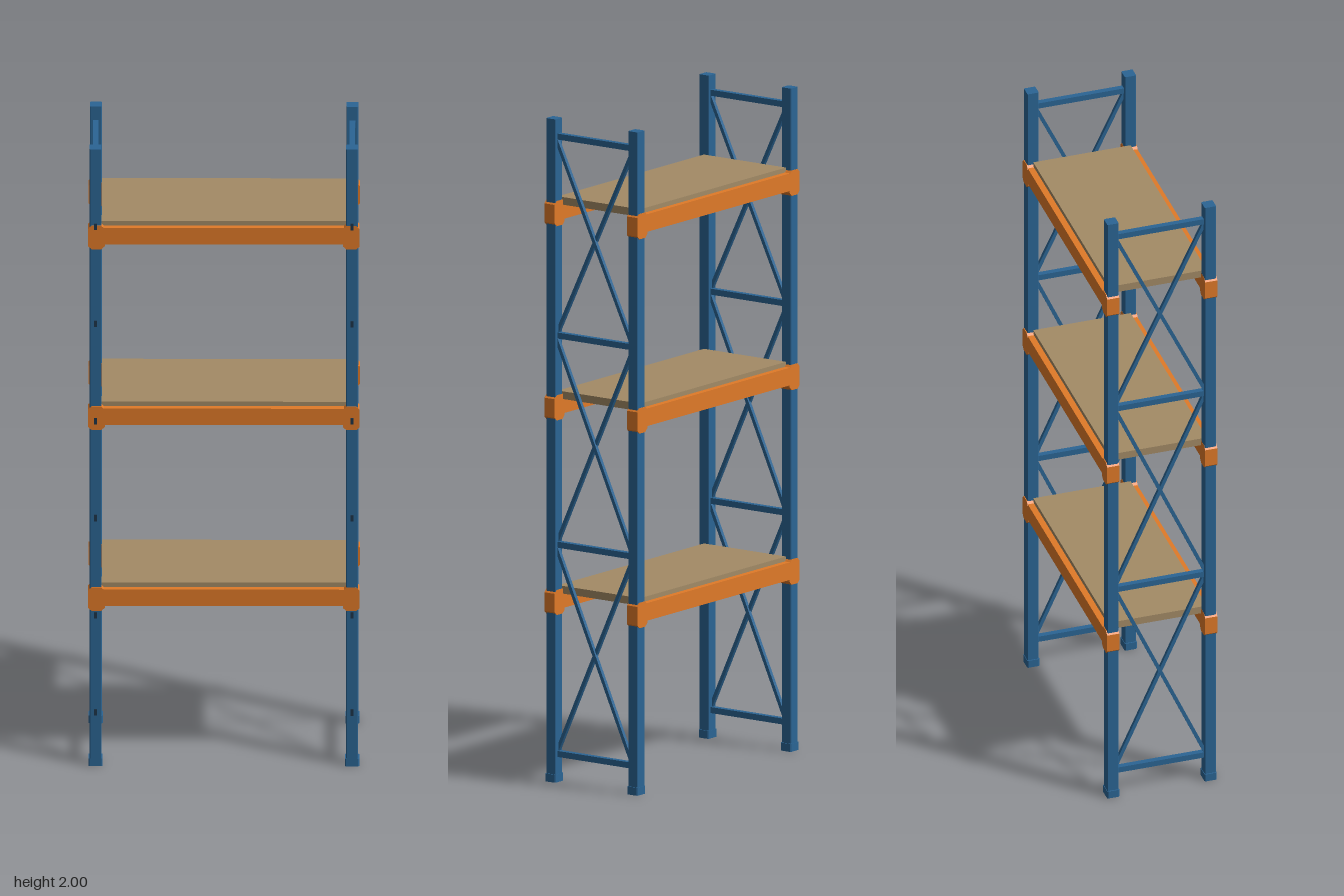
import * as THREE from 'three';

const mat = (color) => new THREE.MeshStandardMaterial({ color });
const blue = mat(0x2b6594);
const orange = mat(0xe07a28);
const wood = mat(0xa38b66);
const steel = mat(0x9aa0a6);
const dark = mat(0x1d3448);

const POST_X = 0.378, POST_Z = 0.151;

function add(parent, name, geometry, material, x = 0, y = 0, z = 0) {
  const mesh = new THREE.Mesh(geometry, material);
  mesh.name = name;
  mesh.position.set(x, y, z);
  parent.add(mesh);
  return mesh;
}

const box = (w, h, d) => new THREE.BoxGeometry(w, h, d);

// Extrude a closed outline, centred on its depth
function prism(points, depth) {
  const shape = new THREE.Shape(points.map(([x, y]) => new THREE.Vector2(x, y)));
  const geometry = new THREE.ExtrudeGeometry(shape, { depth, bevelEnabled: false });
  return geometry.translate(0, 0, -depth / 2);
}

// Rectangle with cut corners
function cutRect(w, h, c) {
  const a = w / 2, b = h / 2;
  return [[-a + c, -b], [a - c, -b], [a, -b + c], [a, b - c],
    [a - c, b], [-a + c, b], [-a, b - c], [-a, -b + c]];
}

// One upright frame: two posts, feet, horizontal and crossed braces
function uprightFrame(side) {
  const frame = new THREE.Group();
  frame.name = side > 0 ? 'leftUprightFrame' : 'rightUprightFrame';
  frame.position.x = side * POST_X;

  const postGeo = prism(cutRect(0.035, 0.035, 0.002), 2).rotateX(-Math.PI / 2);
  const footGeo = prism(cutRect(0.042, 0.038, 0.003), 0.024).rotateX(-Math.PI / 2);
  for (const s of [1, -1]) {
    add(frame, 'post', postGeo, blue, 0, 1, s * POST_Z);
    add(frame, 'foot', footGeo, blue, 0, 0.012, s * POST_Z);
  }

  // Small studs up the front of the post
  for (let i = 0; i < 6; i++) {
    add(frame, 'stud', box(0.009, 0.02, 0.006), dark, 0, 0.175 + 0.315 * i, POST_Z + 0.018);
  }

  const levels = [0.085, 0.716, 1.347, 1.947];
  for (const y of levels) add(frame, 'horizontalBrace', box(0.017, 0.018, 0.27), blue, 0, y, 0);

  for (let i = 0; i < levels.length - 1; i++) {
    const dy = levels[i + 1] - levels[i] - 0.02;
    const dz = 0.276;
    for (const s of [1, -1]) {
      const brace = add(frame, 'diagonalBrace', box(0.011, Math.hypot(dy, dz), 0.011), blue,
        s * 0.003, (levels[i] + levels[i + 1]) / 2, 0);
      brace.rotation.x = s * Math.atan2(dz, dy);
    }
  }
  return frame;
}

// One shelf, with y measured from the deck's top
function shelf(top) {
  const group = new THREE.Group();
  group.name = 'shelf';
  group.position.y = top;

  add(group, 'deck', box(0.72, 0.023, 0.302), wood, 0, -0.0115, 0);
  for (const x of [-0.22, 0, 0.22]) {
    add(group, 'deckSupport', box(0.024, 0.023, 0.28), steel, x, -0.0345, 0);
  }

  // Stepped beam whose ledge carries the deck
  const beamGeo = prism([[0.134, -0.067], [0.17, -0.067], [0.17, -0.014],
    [0.151, -0.014], [0.151, -0.023], [0.134, -0.023]], 0.72).rotateY(-Math.PI / 2);
  const connectorGeo = prism(cutRect(0.049, 0.076, 0.01), 0.038);
  for (const s of [1, -1]) {
    const side = new THREE.Group();
    side.name = s > 0 ? 'frontBeam' : 'backBeam';
    side.rotation.y = s > 0 ? 0 : Math.PI;
    add(side, 'beam', beamGeo, orange);
    for (const e of [1, -1]) {
      add(side, 'beamConnector', connectorGeo, orange, e * 0.3755, -0.045, 0.152);
    }
    group.add(side);
  }
  return group;
}

export function createModel() {
  const rack = new THREE.Group();
  rack.name = 'storageRack';
  for (const side of [1, -1]) rack.add(uprightFrame(side));
  for (const top of [0.587, 1.174, 1.76]) rack.add(shelf(top));
  return rack;
}
